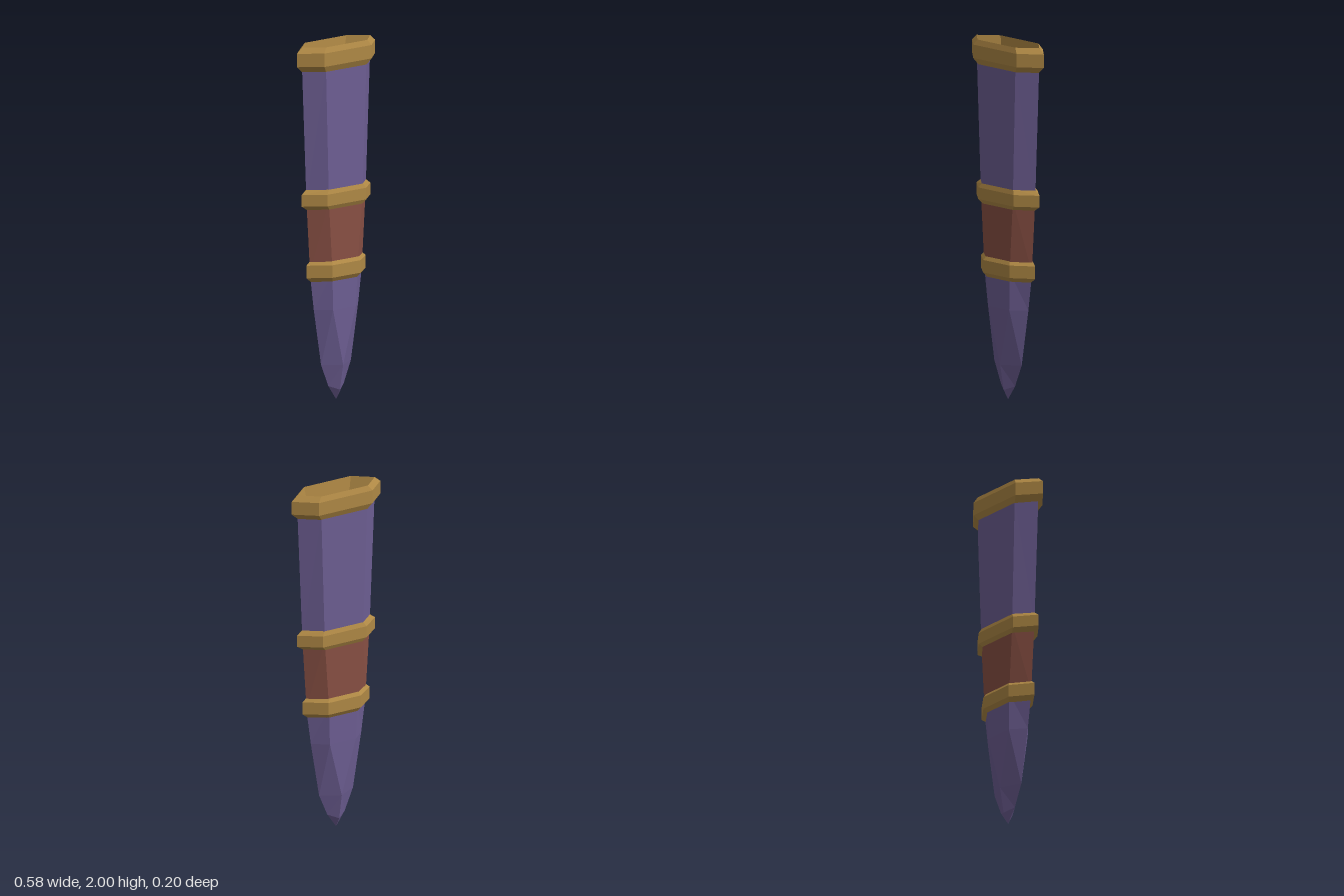
import * as THREE from 'three';

// Flat-shaded skin over long hexagonal rings given as [y, half width, half flat, half depth, ridge drop].
// Rings listed upwards face outwards, rings listed downwards face inwards.
function hexLoft(rings) {
  const loops = rings.map(([y, w, f, d, drop = 0]) => [
    [w, y, 0], [f, y - drop, d], [-f, y - drop, d],
    [-w, y, 0], [-f, y - drop, -d], [f, y - drop, -d],
  ].map((p) => new THREE.Vector3(...p)));
  const pos = [];
  const tri = (a, b, c) => {
    const area = b.clone().sub(a).cross(c.clone().sub(a)).length();
    if (area > 1e-8) for (const p of [a, b, c]) pos.push(p.x, p.y, p.z);
  };
  for (let k = 0; k < loops.length - 1; k++) {
    for (let i = 0; i < 6; i++) {
      const j = (i + 1) % 6;
      const a = loops[k][i], b = loops[k][j], c = loops[k + 1][j], d = loops[k + 1][i];
      // mirror the split so both halves match
      if (i % 3 === 0) { tri(a, d, c); tri(a, c, b); }
      else { tri(a, d, b); tri(b, d, c); }
    }
  }
  const geo = new THREE.BufferGeometry();
  geo.setAttribute('position', new THREE.Float32BufferAttribute(pos, 3));
  geo.computeVertexNormals();
  return geo;
}

export function createModel() {
  const material = (name, color) => {
    const m = new THREE.MeshStandardMaterial({ color });
    m.name = name;
    return m;
  };
  const purple = material('purple leather', 0x6e5f94);
  const red = material('red leather', 0x8a5145);
  const gold = material('gold trim', 0xb08945);
  const lining = material('dark lining', 0x7a614c);

  const group = new THREE.Group();
  group.name = 'sheath';
  const add = (name, mat, rings) => {
    const mesh = new THREE.Mesh(hexLoft(rings), mat);
    mesh.name = name;
    group.add(mesh);
  };

  // Pointed lower body
  add('tip', purple, [
    [0, 0, 0, 0],
    [0.08, 0.057, 0, 0.032, 0.023],
    [0.205, 0.111, 0, 0.058, 0.005],
    [0.52, 0.165, 0.085, 0.069],
    [0.735, 0.195, 0.093, 0.073],
  ]);

  // Middle wrap and upper body
  add('middleWrap', red, [
    [0.735, 0.193, 0.093, 0.073],
    [1.14, 0.22, 0.125, 0.079],
  ]);
  add('upperBody', purple, [
    [1.14, 0.22, 0.125, 0.079],
    [1.88, 0.252, 0.15, 0.083],
  ]);

  // Bevelled bands
  add('lowerBand', gold, [
    [0.68, 0.187, 0.09, 0.071],
    [0.705, 0.22, 0.105, 0.087],
    [0.775, 0.22, 0.105, 0.087],
    [0.795, 0.195, 0.095, 0.074],
  ]);
  add('upperBand', gold, [
    [1.085, 0.214, 0.12, 0.077],
    [1.11, 0.255, 0.143, 0.089],
    [1.175, 0.255, 0.143, 0.089],
    [1.2, 0.221, 0.127, 0.079],
  ]);

  // Mouth collar, rolling over into the opening
  add('mouthCollar', gold, [
    [1.86, 0.249, 0.149, 0.082],
    [1.895, 0.29, 0.175, 0.098],
    [1.97, 0.29, 0.175, 0.098],
    [2.0, 0.253, 0.153, 0.086],
    [1.7, 0.168, 0.1, 0.055],
  ]);

  // Dark hollow narrowing to a point
  add('hollow', lining, [
    [1.7, 0.168, 0.1, 0.055],
    [0.9, 0, 0, 0],
  ]);

  return group;
}
